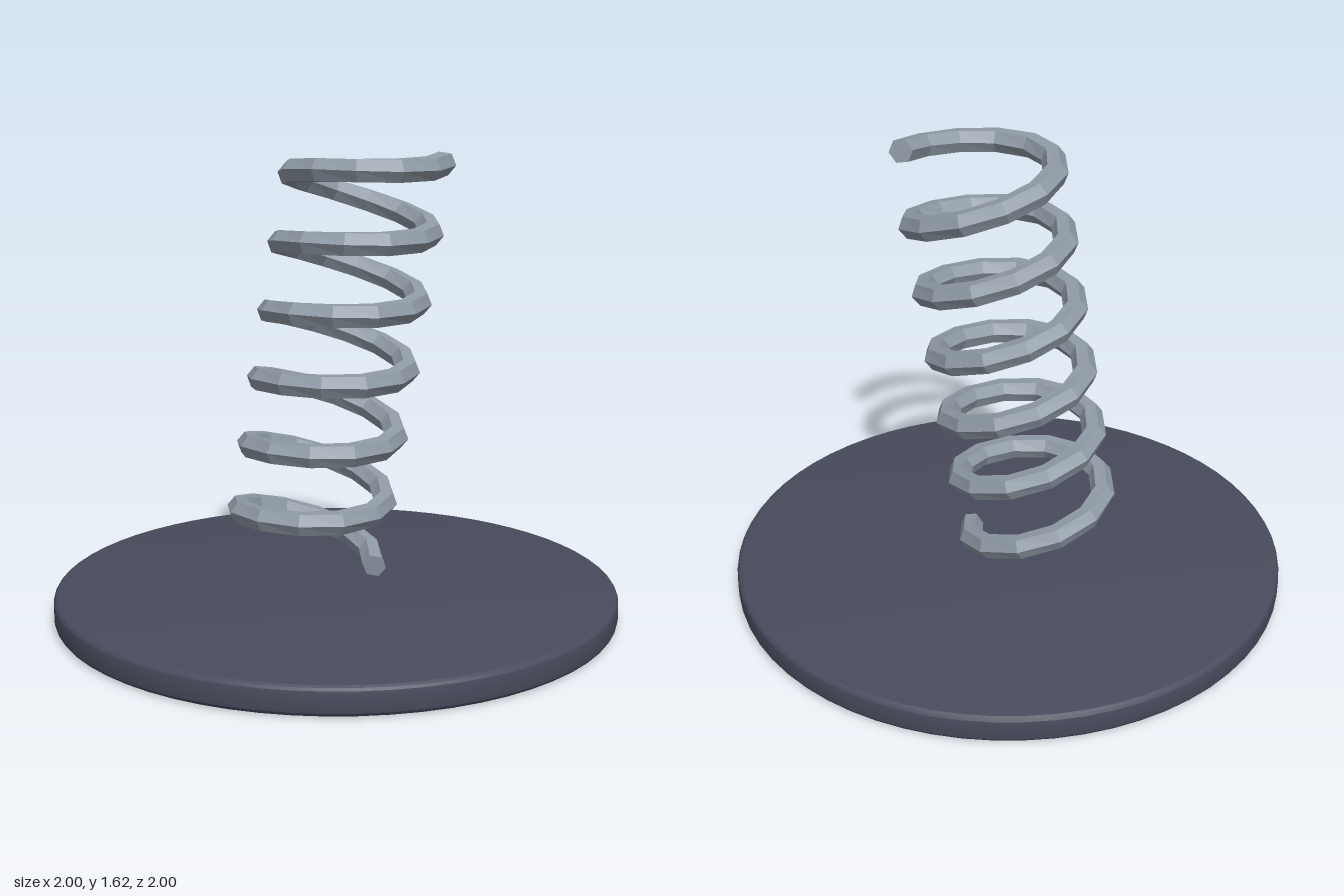
import * as THREE from 'three';
import { toCreasedNormals } from 'three/addons/utils/BufferGeometryUtils.js';

// Hexagonal wire swept along a helix that rises along +y, with capped ends
function helixGeometry(radius, wire, length, turns, stepsPerTurn, sides) {
  const steps = turns * stepsPerTurn;
  const positions = [];
  const index = [];
  const rise = length / (turns * Math.PI * 2);
  for (let i = 0; i <= steps; i++) {
    const a = (i / stepsPerTurn) * Math.PI * 2;
    const out = new THREE.Vector3(Math.cos(a), 0, -Math.sin(a));
    const along = new THREE.Vector3(-radius * Math.sin(a), rise, -radius * Math.cos(a)).normalize();
    const up = new THREE.Vector3().crossVectors(out, along);
    const centre = out.clone().multiplyScalar(radius).setY(rise * a);
    for (let j = 0; j < sides; j++) {
      const b = (j / sides) * Math.PI * 2;
      const p = centre.clone()
        .addScaledVector(out, wire * Math.cos(b))
        .addScaledVector(up, wire * Math.sin(b));
      positions.push(p.x, p.y, p.z);
    }
  }
  for (let i = 0; i < steps; i++) {
    for (let j = 0; j < sides; j++) {
      const k = (j + 1) % sides;
      const a = i * sides + j, b = i * sides + k;
      const c = a + sides, d = b + sides;
      index.push(a, c, b, b, c, d);
    }
  }
  const last = steps * sides;
  for (let j = 1; j < sides - 1; j++) {
    index.push(0, j, j + 1);
    index.push(last, last + j + 1, last + j);
  }
  const indexed = new THREE.BufferGeometry();
  indexed.setAttribute('position', new THREE.Float32BufferAttribute(positions, 3));
  indexed.setIndex(index);
  const geometry = indexed.toNonIndexed();
  geometry.computeVertexNormals();
  return geometry;
}

// Round plate with softened rims
function plateGeometry(radius, height, bevel) {
  const profile = [new THREE.Vector2(0, 0)];
  const arc = (cy, from) => {
    for (let i = 0; i <= 4; i++) {
      const a = from + (i / 4) * Math.PI / 2;
      profile.push(new THREE.Vector2(radius - bevel + bevel * Math.cos(a), cy + bevel * Math.sin(a)));
    }
  };
  arc(bevel, -Math.PI / 2);
  arc(height - bevel, 0);
  profile.push(new THREE.Vector2(0, height));
  return toCreasedNormals(new THREE.LatheGeometry(profile, 64), 0.35);
}

export function createModel() {
  const darkSlate = new THREE.MeshStandardMaterial({ color: 0x484b5c });
  darkSlate.name = 'darkSlate';
  const steel = new THREE.MeshStandardMaterial({ color: 0x8f9aa5, flatShading: true });
  steel.name = 'steelGrey';

  const model = new THREE.Group();
  model.name = 'springOnBase';

  const base = new THREE.Mesh(plateGeometry(1, 0.1, 0.025), darkSlate);
  base.name = 'base';
  model.add(base);

  // Spring leaning toward +x
  const spring = new THREE.Mesh(helixGeometry(0.258, 0.043, 1.445, 6, 12, 6), steel);
  spring.name = 'spring';
  spring.position.set(-0.117, 0.197, 0);
  spring.rotation.z = -0.16;
  model.add(spring);

  return model;
}
